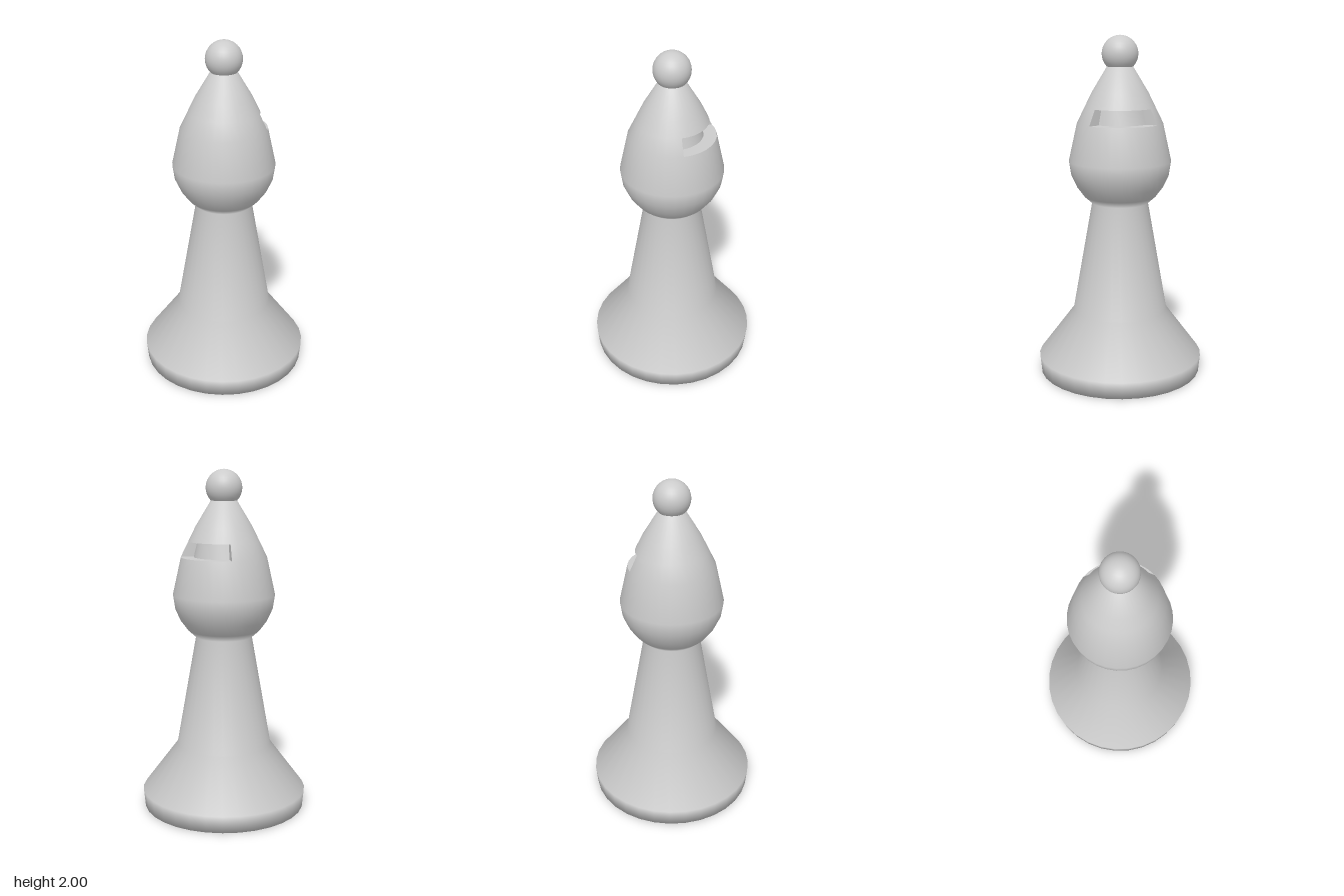
import * as THREE from 'three';
import { toCreasedNormals } from 'three/addons/utils/BufferGeometryUtils.js';

const SEGMENTS = 32;
const STEP = (Math.PI * 2) / SEGMENTS;
// Slot on the +x side of the head, in lathe segments
const SLOT_START = 3, SLOT_END = 12;

const toPoints = (list) => list.map(([r, y]) => new THREE.Vector2(r, y));

// Lower lip, inner wall bottom, inner wall top, upper lip
const SLOT = [[0.25, 1.5], [0.175, 1.5], [0.153, 1.59], [0.206, 1.59]];

// Turned body: base, stem and head in one profile, with the slot's faces left out
function bodyGeometry() {
  const profile = [
    [0, 0], [0.48, 0], [0.49, 0.1], [0.28, 0.38],           // base
    [0.165, 1.03],                                          // stem
    [0.21, 1.07], [0.255, 1.13], [0.287, 1.2], [0.299, 1.28], // head
    [0.25, 1.5], [0.206, 1.59], [0.164, 1.676], [0.074, 1.825], [0, 1.84],
  ];
  const geometry = new THREE.LatheGeometry(toPoints(profile), SEGMENTS);
  const bands = profile.length - 1;
  const slotBand = profile.findIndex(([, y]) => y === 1.5);
  const index = Array.from(geometry.index.array).filter((_, k) => {
    const quad = Math.floor(k / 6);
    const segment = Math.floor(quad / bands);
    return !(quad % bands === slotBand && segment >= SLOT_START && segment < SLOT_END);
  });
  geometry.setIndex(index);
  return geometry;
}

// Flat wall closing one end of the slot
function slotEndGeometry(segment) {
  const geometry = new THREE.ShapeGeometry(new THREE.Shape(toPoints(SLOT)));
  geometry.rotateY(segment * STEP - Math.PI / 2);
  return geometry;
}

export function createModel() {
  const group = new THREE.Group();
  const grey = new THREE.MeshStandardMaterial({ color: 0xcccccc });
  const greyDouble = new THREE.MeshStandardMaterial({ color: 0xcccccc, side: THREE.DoubleSide });

  const add = (name, geometry, material) => {
    const mesh = new THREE.Mesh(geometry, material);
    mesh.name = name;
    group.add(mesh);
    return mesh;
  };

  add('body', bodyGeometry(), grey);

  // Slot cut into the head
  const count = SLOT_END - SLOT_START;
  const slot = new THREE.LatheGeometry(toPoints(SLOT), count, SLOT_START * STEP, count * STEP);
  add('slotWalls', toCreasedNormals(slot, 0.6), greyDouble);
  add('slotFrontEnd', slotEndGeometry(SLOT_START), greyDouble);
  add('slotBackEnd', slotEndGeometry(SLOT_END), greyDouble);

  // Ball on top
  add('finial', new THREE.SphereGeometry(0.105, SEGMENTS, 16), grey).position.y = 1.895;

  return group;
}
